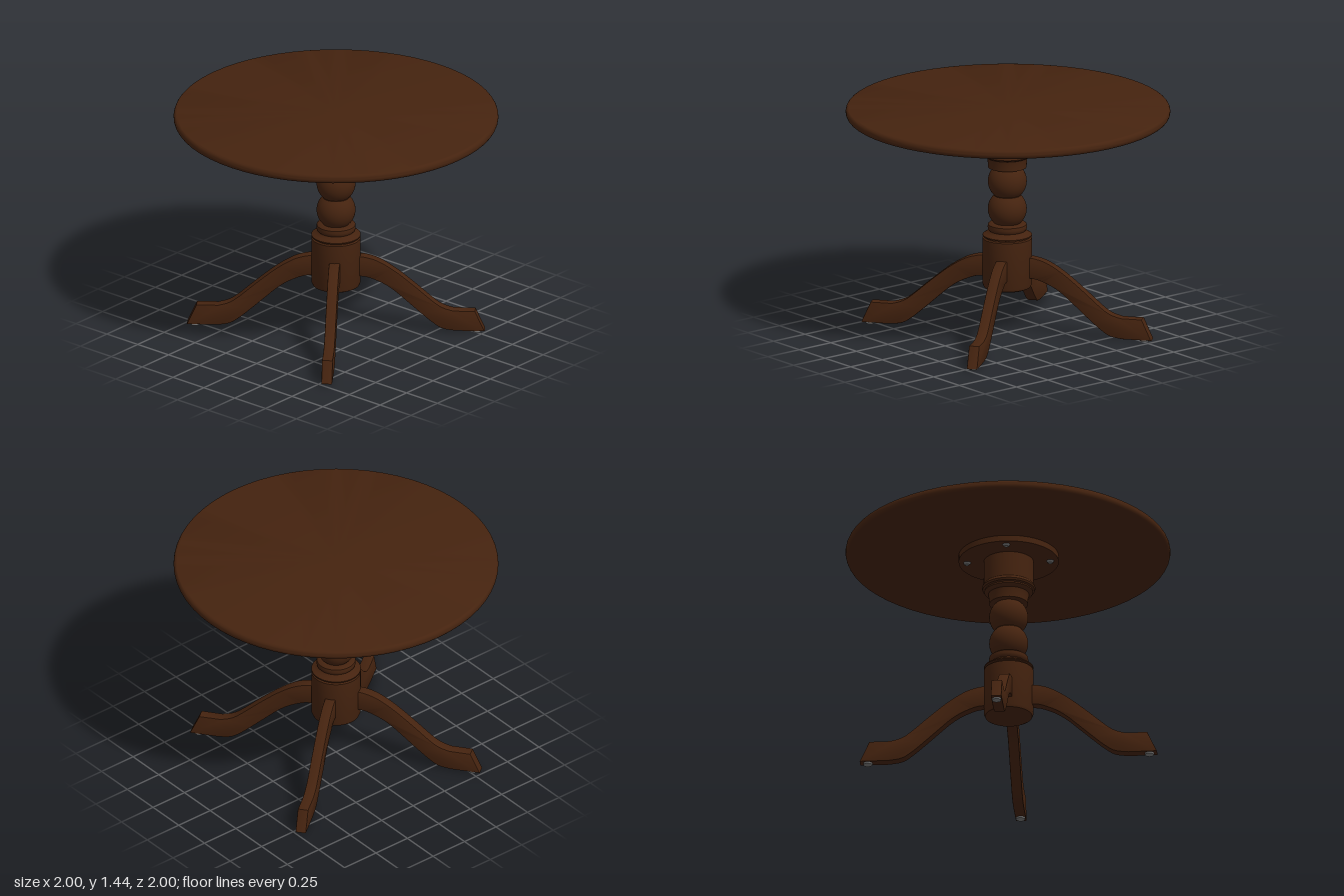
import * as THREE from 'three';
import { toCreasedNormals } from 'three/addons/utils/BufferGeometryUtils.js';

const wood = new THREE.MeshStandardMaterial({ color: 0x45230f });
wood.name = 'dark wood';
const metal = new THREE.MeshStandardMaterial({ color: 0x777777 });
metal.name = 'grey metal';

const points = (list) => list.map(([x, y]) => new THREE.Vector2(x, y));

function addMesh(parent, name, geometry, material, x = 0, y = 0, z = 0) {
  const mesh = new THREE.Mesh(geometry, material);
  mesh.name = name;
  mesh.position.set(x, y, z);
  parent.add(mesh);
  return mesh;
}

function turned(profile, sides) {
  return toCreasedNormals(new THREE.LatheGeometry(points(profile), sides), 0.6);
}

// Round bead of the column, as profile points from bottom to top
function bead(centre, radius, half) {
  const list = [];
  for (let i = 0; i <= 12; i++) {
    const dy = -half + (2 * half * i) / 12;
    list.push([Math.sqrt(radius * radius - dy * dy), centre + dy]);
  }
  return list;
}

// Side outline of a leg: x runs outward from the column
function legGeometry() {
  const width = 0.066, bevel = 0.005;
  const shape = new THREE.Shape();
  shape.moveTo(0.13, 0.365);
  shape.splineThru(points([[0.2, 0.357], [0.287, 0.322], [0.36, 0.275], [0.44, 0.205],
    [0.52, 0.133], [0.6, 0.065], [0.66, 0.028], [0.74, 0.015]]));
  shape.lineTo(0.912, 0.015);
  shape.lineTo(0.855, 0.138);
  shape.lineTo(0.725, 0.138);
  shape.splineThru(points([[0.66, 0.158], [0.6, 0.197], [0.475, 0.305], [0.36, 0.397],
    [0.26, 0.458], [0.18, 0.483], [0.13, 0.485]]));
  shape.closePath();
  const geometry = new THREE.ExtrudeGeometry(shape, {
    depth: width - 2 * bevel, bevelEnabled: true, bevelSize: bevel,
    bevelThickness: bevel, bevelSegments: 2, curveSegments: 20,
  });
  geometry.translate(0, 0, -width / 2 + bevel);
  return toCreasedNormals(geometry, 0.5);
}

export function createModel() {
  const group = new THREE.Group();
  group.name = 'pedestalTable';

  // Round top with a softened rim
  const rim = [];
  for (let i = 0; i <= 10; i++) {
    const a = -Math.PI / 2 + (Math.PI * i) / 10;
    rim.push([0.978 + 0.022 * Math.cos(a), 1.4105 + 0.0285 * Math.sin(a)]);
  }
  addMesh(group, 'tableTop', turned([[0, 1.382], ...rim, [0, 1.439]], 64), wood);

  const base = new THREE.Group();
  base.name = 'base';
  base.position.set(-0.003, 0, 0.003);
  group.add(base);

  // Mounting plate and its screws
  addMesh(base, 'mountingPlate', new THREE.CylinderGeometry(0.308, 0.308, 0.04, 64), wood, 0, 1.364, 0);
  [[0.16, 0.2], [0.2, -0.16], [-0.16, -0.2], [-0.2, 0.16]].forEach(([x, z]) => {
    addMesh(base, 'screw', new THREE.CylinderGeometry(0.024, 0.014, 0.014, 16), metal, x, 1.338, z);
  });

  // Turned column
  const column = [
    [0, 0.288], [0.132, 0.288], [0.145, 0.295], [0.152, 0.312], [0.152, 0.605],
    [0.14, 0.61], [0.138, 0.615], [0.152, 0.619], [0.152, 0.626], [0.135, 0.636],
    [0.118, 0.644], [0.112, 0.652], [0.119, 0.66], [0.121, 0.675], [0.119, 0.692],
    [0.112, 0.698], [0.09, 0.702],
    ...bead(0.789, 0.12, 0.087),
    ...bead(0.966, 0.12, 0.087),
    [0.119, 1.056], [0.121, 1.1], [0.126, 1.12], [0.142, 1.127], [0.15, 1.136],
    [0.148, 1.146], [0.16, 1.152], [0.165, 1.164], [0.161, 1.176], [0.154, 1.184],
    [0.153, 1.345],
  ];
  addMesh(base, 'column', turned(column, 48), wood);

  // Four swept legs with foot pads
  const legShape = legGeometry();
  const padShape = new THREE.CylinderGeometry(0.028, 0.028, 0.014, 20);
  for (let i = 0; i < 4; i++) {
    const leg = new THREE.Group();
    leg.name = 'leg';
    leg.rotation.y = THREE.MathUtils.degToRad(-53 + 90 * i);
    addMesh(leg, 'legBody', legShape, wood);
    addMesh(leg, 'footPad', padShape, metal, 0.87, 0.007, 0);
    base.add(leg);
  }
  return group;
}
